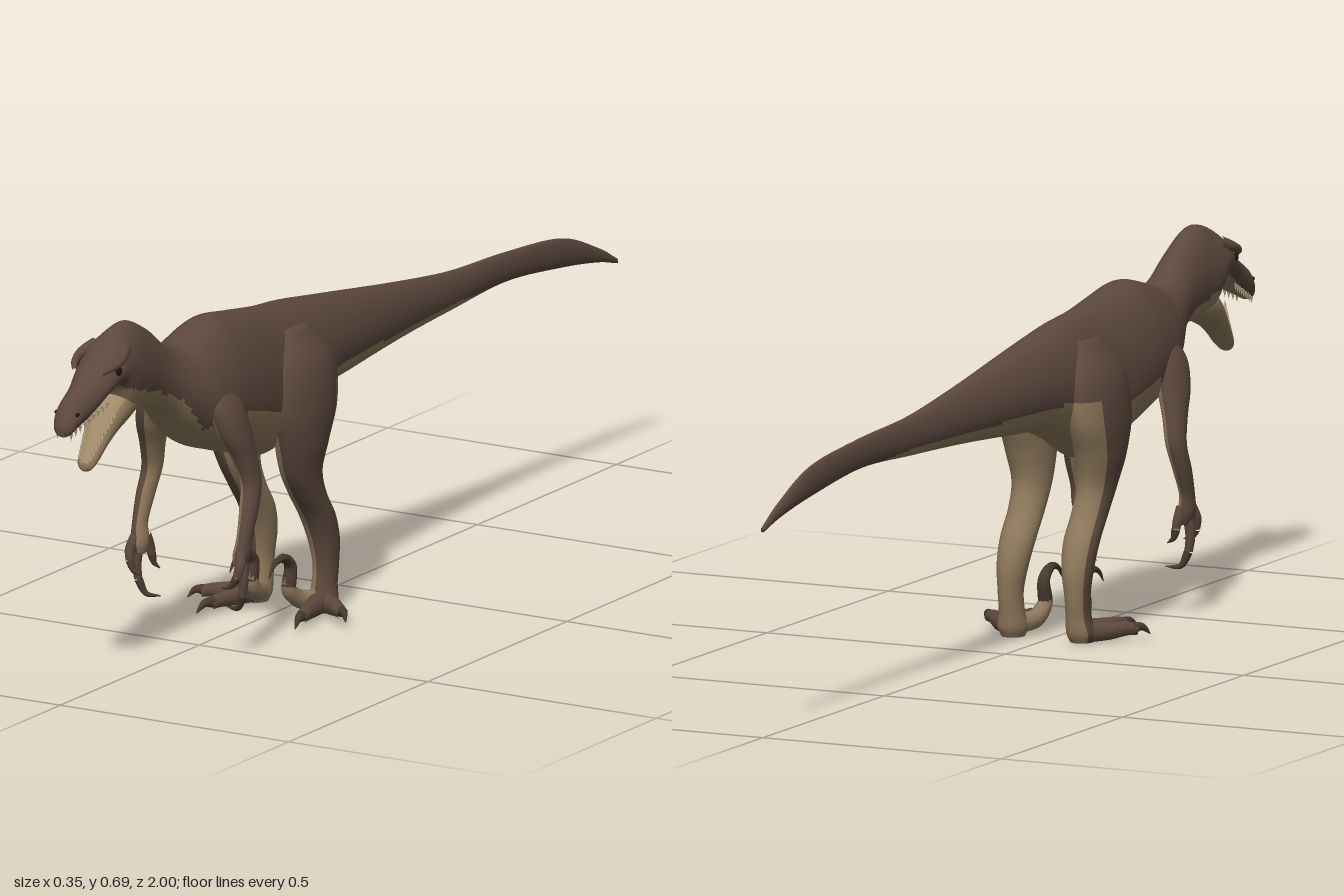
import * as THREE from 'three';

const mat = (name, color, side = THREE.FrontSide) => {
  const m = new THREE.MeshStandardMaterial({ color, side });
  m.name = name;
  return m;
};

// Smooth interpolation of rows of numbers, taken at n + 1 even steps.
function resample(rows, n) {
  const k = rows[0].length, out = [];
  const curves = [];
  for (let c = 0; c < k; c += 3) {
    curves.push(new THREE.CatmullRomCurve3(
      rows.map(r => new THREE.Vector3(r[c], r[c + 1] ?? 0, r[c + 2] ?? 0)), false, 'catmullrom', 0.5));
  }
  for (let i = 0; i <= n; i++) out.push(curves.flatMap(c => c.getPoint(i / n).toArray()));
  return out;
}

// Skin over rings [x, y, z, r1, r2]; upright rings run towards +z, level rings run downwards.
// isSecond(angle, point) picks the second material for a face.
function loft(rows, upright, isSecond, egg = 0, steps = 60, sides = 40) {
  const rings = resample(rows, steps), pos = [], first = [], second = [];
  for (const [x, y, z, r1, r2] of rings) {
    for (let j = 0; j < sides; j++) {
      const a = j / sides * Math.PI * 2, c = Math.cos(a), s = Math.sin(a);
      const dx = r1 * c * (1 - egg * s);
      pos.push(x + dx, y + (upright ? r2 * s : 0), z + (upright ? 0 : r2 * s));
    }
  }
  const mid = new THREE.Vector3();
  for (let i = 0; i < steps; i++) {
    for (let j = 0; j < sides; j++) {
      const k = (j + 1) % sides, a = i * sides + j, b = i * sides + k, c = a + sides, d = b + sides;
      mid.set(0, 0, 0);
      for (const v of [a, b, c, d]) mid.add(new THREE.Vector3().fromArray(pos, v * 3));
      mid.multiplyScalar(0.25);
      const list = isSecond((j + 0.5) / sides * Math.PI * 2, mid) ? second : first;
      list.push(a, b, c, b, d, c);
    }
  }
  // end caps
  for (const i of [0, steps]) {
    pos.push(...rings[i].slice(0, 3));
    const centre = pos.length / 3 - 1;
    for (let j = 0; j < sides; j++) {
      const a = i * sides + j, b = i * sides + (j + 1) % sides;
      first.push(...(i ? [a, b, centre] : [b, a, centre]));
    }
  }
  const g = new THREE.BufferGeometry();
  g.setAttribute('position', new THREE.Float32BufferAttribute(pos, 3));
  g.setIndex([...first, ...second]);
  g.addGroup(0, first.length, 0);
  g.addGroup(first.length, second.length, 1);
  g.computeVertexNormals();
  return g;
}

// Tube along points whose radius runs from r0 to r1.
function taper(points, r0, r1, steps = 16, sides = 10) {
  const curve = new THREE.CatmullRomCurve3(points.map(p => new THREE.Vector3(...p)));
  const g = new THREE.TubeGeometry(curve, steps, 1, sides);
  const p = g.attributes.position, v = new THREE.Vector3();
  for (let i = 0; i < p.count; i++) {
    const t = Math.floor(i / (sides + 1)) / steps, c = curve.getPointAt(t);
    v.fromBufferAttribute(p, i).sub(c).multiplyScalar(r0 + (r1 - r0) * t ** 1.4).add(c);
    p.setXYZ(i, v.x, v.y, v.z);
  }
  g.computeVertexNormals();
  return g;
}

function mirrored(geometry) {
  const g = geometry.clone().scale(-1, 1, 1), ix = g.index.array;
  for (let i = 0; i < ix.length; i += 3) [ix[i], ix[i + 1]] = [ix[i + 1], ix[i]];
  g.computeVertexNormals();
  return g;
}

// Value at z on a list of [z, value] pairs.
function along(table, z) {
  for (let i = 1; i < table.length; i++) {
    const [z0, v0] = table[i - 1], [z1, v1] = table[i];
    if (z <= z1) return v0 + (v1 - v0) * (z - z0) / (z1 - z0);
  }
  return table[table.length - 1][1];
}

export function createModel() {
  const model = new THREE.Group();
  model.name = 'dinosaur';
  const brown = mat('brown hide', 0x5c483d), tan = mat('tan underside', 0x8c775a);
  const claw = mat('dark claw', 0x49392f), mouth = mat('mouth lining', 0xa08a68);
  const tooth = mat('tooth', 0xb5a384), eye = mat('eye', 0x1c1612);

  const add = (name, geometry, material) => {
    const m = new THREE.Mesh(geometry, material);
    m.name = name;
    model.add(m);
  };
  const pair = (name, geometry, material) => {
    add(name + 'Left', geometry, material);
    add(name + 'Right', mirrored(geometry), material);
  };
  const section = ([z, top, bottom, half]) => [0, (top + bottom) / 2, z, half, (top - bottom) / 2];

  // Tail, trunk, neck and skull: z, top, bottom, half width
  const body = [
    [-1, .4, .39, .004], [-.93, .437, .408, .008], [-.8, .485, .428, .011], [-.6, .505, .448, .013],
    [-.4, .515, .44, .02], [-.2, .54, .43, .035], [0, .57, .415, .056], [.1, .585, .405, .066],
    [.2, .6, .37, .075], [.3, .61, .325, .08], [.4, .625, .35, .088], [.48, .635, .375, .09],
    [.55, .62, .4, .085], [.6, .606, .44, .07], [.65, .622, .485, .052], [.7, .66, .51, .045],
    [.76, .69, .515, .047], [.8, .688, .525, .05], [.835, .672, .575, .05], [.87, .645, .575, .045],
    [.92, .612, .545, .034], [.97, .585, .525, .027], [.99, .562, .517, .02], [1, .54, .524, .008],
  ];
  const belly = [[-.6, .43], [-.5, .452], [-.4, .457], [0, .457], [.2, .46], [.3, .41], [.36, .43],
    [.45, .455], [.58, .445], [.64, .515], [.72, .55], [.8, .57], [.84, .585]];
  add('body', loft(body.map(section), true, (a, p) =>
    p.z > .84 ? Math.sin(a) < -.8 : p.y < along(belly, p.z), .14, 184, 56), [brown, tan]);

  // Open lower jaw, with lining on its upper face
  const jaw = [[.75, .57, .52, .03], [.8, .575, .5, .037], [.835, .555, .485, .034], [.865, .522, .465, .028],
    [.89, .49, .443, .023], [.908, .465, .432, .018], [.917, .45, .436, .007]];
  add('lowerJaw', loft(jaw.map(section), true, a => Math.sin(a) > .55, 0, 40, 32), [tan, mouth]);

  // Teeth along both jaws
  const toothCone = (x, y, z, up) => {
    const g = new THREE.ConeGeometry(.0035, .014, 6);
    if (!up) g.rotateX(Math.PI);
    return g.translate(x, y, z);
  };
  for (let i = 0; i < 9; i++) {
    const t = i / 8;
    pair('upperTooth' + i, toothCone(.033 - .018 * t, .558 - .04 * t, .885 + .1 * t, false), tooth);
    pair('lowerTooth' + i, toothCone(.028 - .016 * t, .533 - .068 * t, .85 + .06 * t, true), tooth);
  }

  // Eyes, brow ridges and nostrils
  pair('eye', new THREE.SphereGeometry(.009, 16, 12).scale(.6, 1, 1).translate(.044, .621, .862), eye);
  pair('brow', taper([[.032, .655, .82], [.044, .643, .85], [.043, .633, .875], [.03, .622, .9]], .012, .004), brown);
  pair('nostril', new THREE.SphereGeometry(.005, 10, 8).scale(.6, .8, 1.3).translate(.023, .56, .975), eye);

  // Hind legs, tan on the inner and rear faces: x, y, z, half width, half depth
  const leg = [[.045, .565, .24, .02, .04], [.066, .5, .24, .042, .09], [.074, .42, .245, .046, .095],
    [.073, .35, .25, .043, .07], [.068, .29, .245, .036, .05], [.066, .24, .22, .034, .04],
    [.066, .19, .185, .034, .036], [.068, .14, .165, .03, .032], [.07, .09, .16, .024, .027],
    [.07, .05, .165, .024, .027], [.072, .02, .172, .028, .03], [.072, .002, .175, .022, .024]];
  pair('hindLeg', loft(leg, false, (a, p) =>
    p.y < .46 && (Math.cos(a) < -.15 || Math.sin(a) < -.6), 0, 80, 40), [brown, tan]);

  // Hind toes and claws
  pair('outerToe', taper([[.07, .022, .17], [.11, .021, .2], [.14, .024, .228], [.155, .022, .24]], .021, .011), brown);
  pair('outerClaw', taper([[.146, .024, .232], [.162, .026, .246], [.173, .012, .258]], .011, .001), claw);
  pair('middleToe', taper([[.07, .022, .17], [.083, .021, .23], [.095, .021, .28], [.099, .018, .3]], .022, .011), brown);
  pair('middleClaw', taper([[.096, .021, .288], [.103, .022, .312], [.108, .007, .334]], .011, .001), claw);
  pair('innerToe', taper([[.065, .025, .18], [.047, .03, .215], [.041, .055, .245], [.041, .078, .243]], .02, .012), tan);
  pair('sickleClaw', taper([[.041, .06, .246], [.041, .1, .24], [.041, .12, .268], [.042, .113, .302],
    [.043, .092, .32]], .014, .001, 24), claw);

  // Arms, tan on the inner face
  const arm = [[.06, .52, .53, .02, .03], [.076, .48, .53, .028, .045], [.089, .43, .52, .028, .042],
    [.1, .38, .503, .022, .031], [.108, .33, .492, .019, .024], [.113, .28, .507, .017, .022],
    [.114, .23, .525, .014, .018], [.111, .195, .53, .016, .021], [.109, .172, .53, .01, .015]];
  pair('arm', loft(arm, false, a => Math.cos(a) < -.25, 0, 60, 32), [brown, tan]);

  // Fingers, each with a hooked claw
  const fingers = [
    [[.112, .2, .53], [.117, .15, .533], [.114, .12, .532], [.1, .092, .526], [.072, .09, .52]],
    [[.114, .205, .54], [.12, .18, .552], [.117, .16, .557], [.106, .143, .56], [.088, .137, .563]],
    [[.106, .205, .52], [.102, .18, .51], [.1, .165, .507], [.096, .148, .505], [.084, .138, .503]],
  ];
  fingers.forEach((f, i) => {
    pair('finger' + i, taper(f.slice(0, 3), .011, .008), brown);
    pair('fingerClaw' + i, taper(f.slice(2), .0085, .001), claw);
  });
  return model;
}
